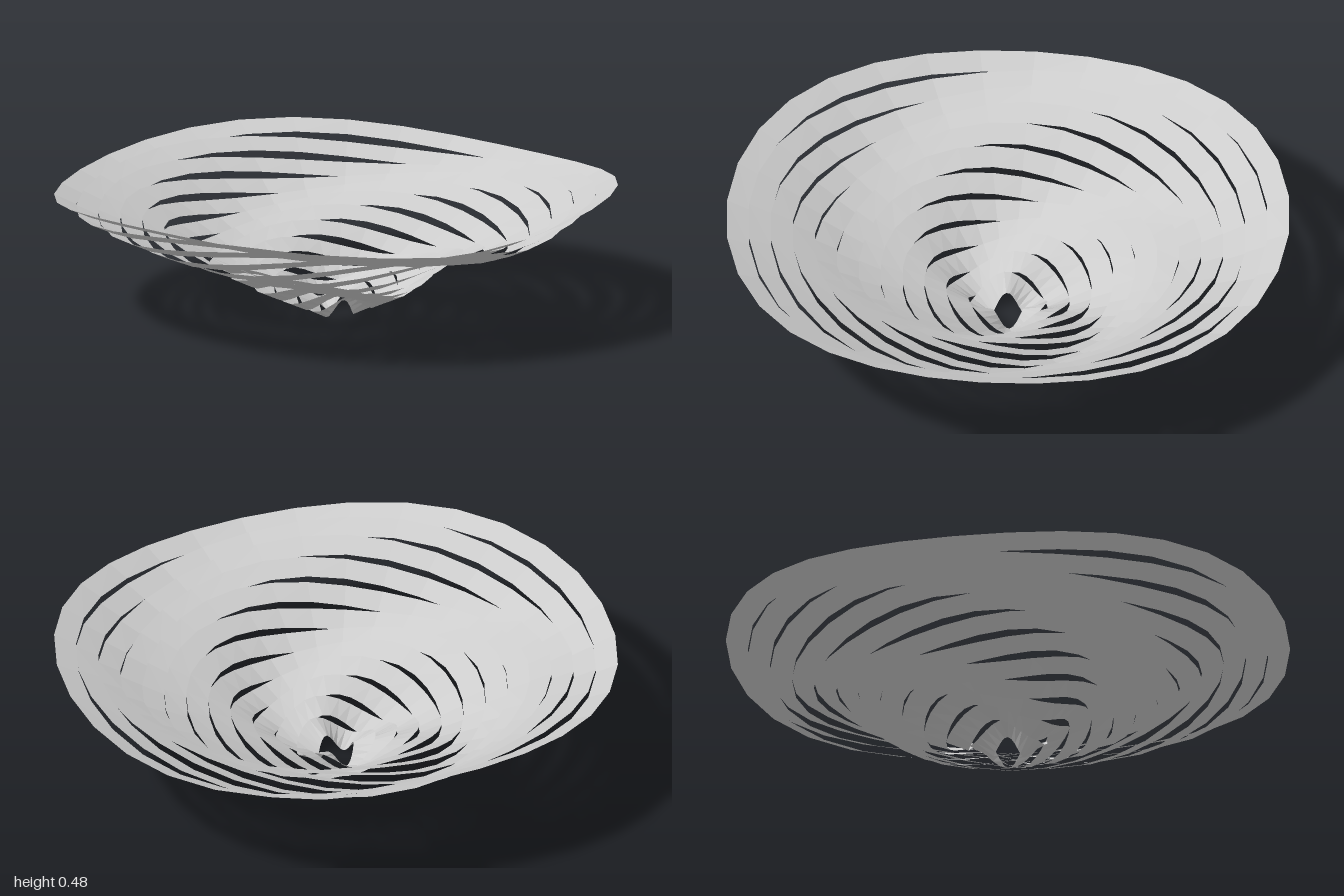
import * as THREE from 'three';

const SEGMENTS = 32;
const RINGS = 12;
const INNER = 0.062, OUTER = 1;
const LOW = 0.032, HIGH = 0.453; // mean height at the hole and at the rim
const WAVE = 0.032; // height of the three-lobed wave
const TWIST = 0.9; // phase the wave turns by from ring to ring

// One thin conical ring whose height follows a three-lobed wave
function ringGeometry(rIn, rOut, phase) {
  const geometry = new THREE.RingGeometry(rIn, rOut, SEGMENTS, 1);
  geometry.rotateX(-Math.PI / 2);
  const p = geometry.attributes.position;
  for (let i = 0; i < p.count; i++) {
    const x = p.getX(i), z = p.getZ(i);
    const t = (Math.hypot(x, z) - INNER) / (OUTER - INNER);
    const angle = Math.atan2(z, x);
    p.setY(i, LOW + (HIGH - LOW) * t + WAVE * Math.cos(3 * angle + phase));
  }
  geometry.computeVertexNormals();
  return geometry;
}

export function createModel() {
  const group = new THREE.Group();
  group.name = 'slottedBowl';
  const material = new THREE.MeshStandardMaterial({
    color: 0xcccccc, side: THREE.DoubleSide, flatShading: true,
  });
  material.name = 'light grey';

  // Rings from the rim inwards, each wave turned a little further
  const step = (OUTER - INNER) / RINGS;
  for (let k = 0; k < RINGS; k++) {
    const rOut = OUTER - k * step;
    const ring = new THREE.Mesh(ringGeometry(rOut - step, rOut, k * TWIST), material);
    ring.name = k === 0 ? 'rimRing' : `ring${k + 1}`;
    group.add(ring);
  }
  return group;
}
